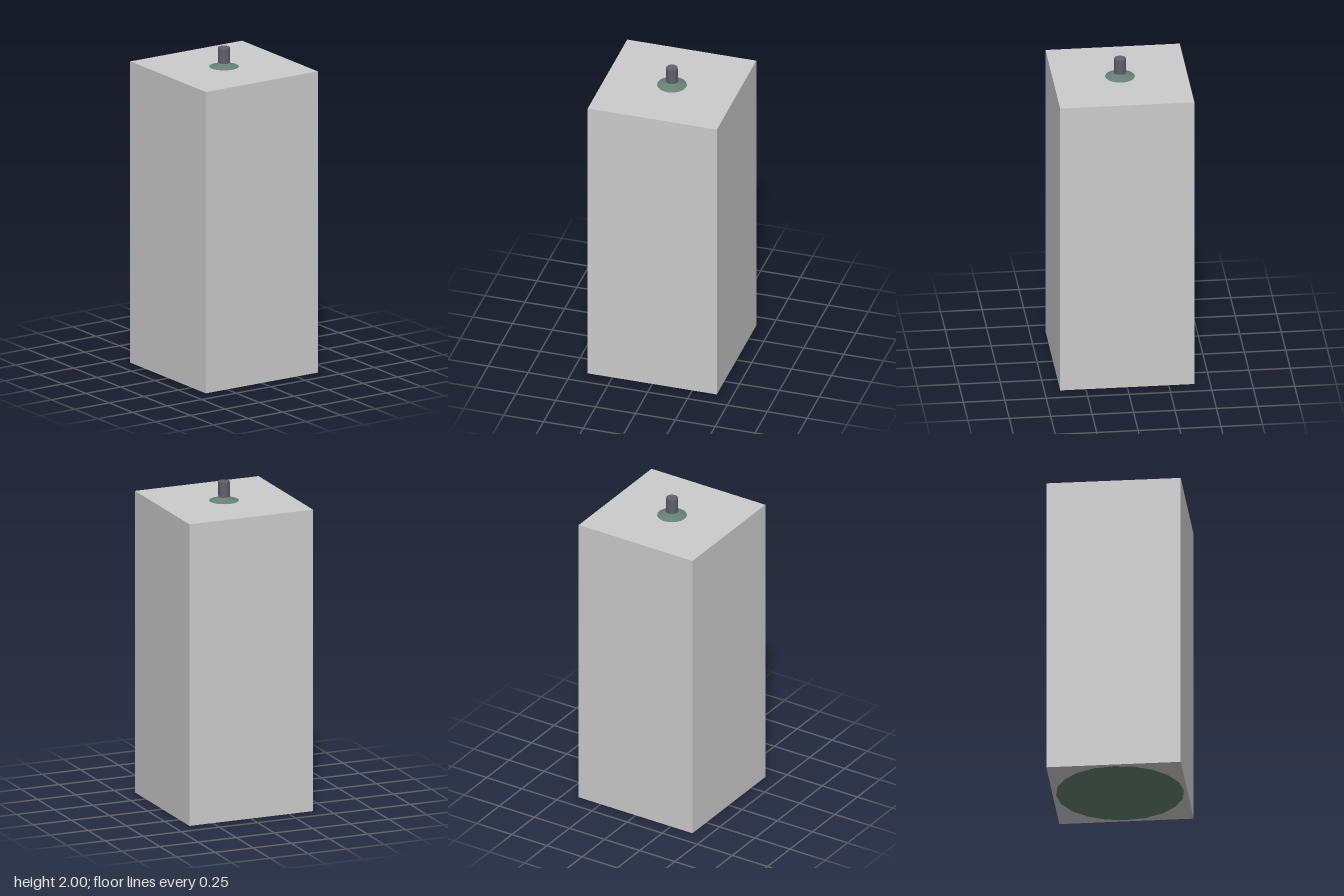
import * as THREE from 'three';

export function createModel() {
  const model = new THREE.Group();

  const add = (name, geometry, color, y) => {
    const material = new THREE.MeshStandardMaterial({ color });
    const mesh = new THREE.Mesh(geometry, material);
    mesh.name = name;
    mesh.position.y = y;
    model.add(mesh);
  };

  const green = 0x668274;
  const radius = 0.385;
  const shoulder = 1.788; // height where the tank wall meets its conical top
  const apex = 1.908;
  const sides = 20;

  // Square housing, a hair above the tank's base so the two never overlap
  const housingTop = 1.88;
  const gap = 0.001;
  add('housing', new THREE.BoxGeometry(0.81, housingTop - gap, 0.81), 0xcccccc, (housingTop + gap) / 2);

  // Round tank inside the housing, with a shallow cone poking through the lid
  add('tank', new THREE.CylinderGeometry(radius, radius, shoulder, sides), green, shoulder / 2);
  add('tankTop', new THREE.ConeGeometry(radius, apex - shoulder, sides, 1, true), green, (apex + shoulder) / 2);

  // Short eight-sided pipe at the peak
  add('pipe', new THREE.CylinderGeometry(0.037, 0.037, 0.095, 8), 0x62626b, 1.9525);

  return model;
}
